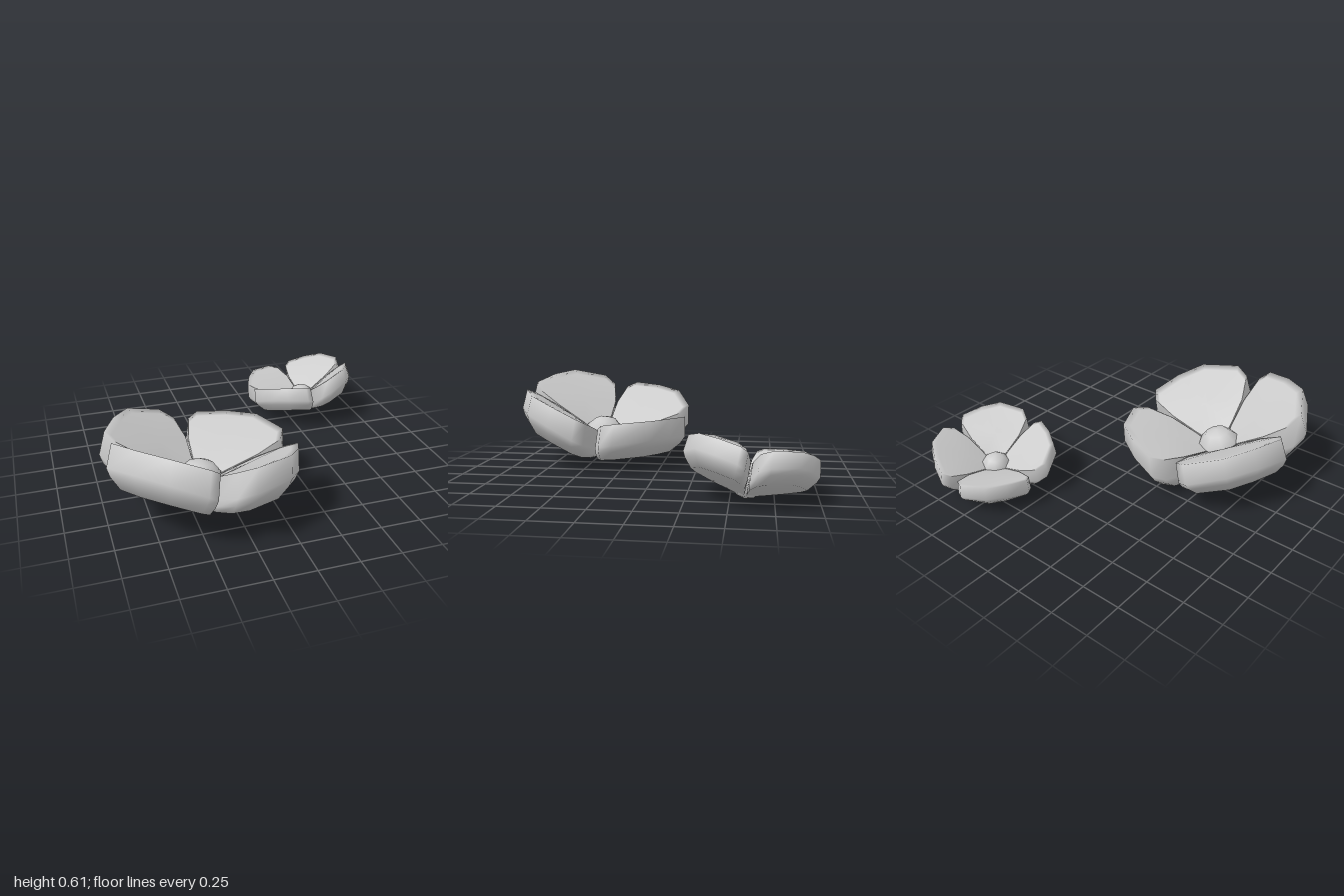
import * as THREE from 'three';

// Petal outline seen from above: [distance from the flower centre, sideways]
const OUTLINE = [
  [0.02, 0], [0.13, -0.125], [0.27, -0.26], [0.41, -0.35], [0.49, -0.335], [0.57, -0.14],
  [0.61, 0.06], [0.52, 0.30], [0.42, 0.335], [0.27, 0.255], [0.13, 0.125],
];

// Cross-section rings from underside to top:
// length scale, width scale, height at centre, slope, curvature
const RINGS = [
  [0.88, 0.80, 0.01, 0.38, 0],
  [0.97, 0.94, 0.03, 0.46, 0],
  [1.00, 1.00, 0.07, 0.47, 0],
  [0.965, 0.965, 0.14, 0.86, -0.46],
  [0.89, 0.90, 0.135, 0.86, -0.46],
];

// Thick petal: wedge-shaped underside, upright rim band and a sloping top
function petalGeometry() {
  const n = OUTLINE.length, pos = [], idx = [];
  const addPoint = (r, t, [length, width, y0, slope, curve]) => {
    const x = r * length;
    pos.push(x, y0 + slope * x + curve * x * x, t * width);
  };
  for (const ring of RINGS) {
    for (const [r, t] of OUTLINE) addPoint(r, t, ring);
  }
  for (let k = 0; k < RINGS.length - 1; k++) {
    for (let i = 0; i < n; i++) {
      const a = k * n + i, b = k * n + (i + 1) % n;
      idx.push(a, a + n, b, b, a + n, b + n);
    }
  }
  // Underside and top caps
  const last = RINGS.length - 1, under = pos.length / 3, top = under + 1;
  addPoint(0.33, 0, RINGS[0]);
  addPoint(0.33, 0, RINGS[last]);
  for (let i = 0; i < n; i++) {
    const j = (i + 1) % n;
    idx.push(under, i, j, top, last * n + j, last * n + i);
  }
  const geo = new THREE.BufferGeometry();
  geo.setAttribute('position', new THREE.Float32BufferAttribute(pos, 3));
  geo.setIndex(idx);
  geo.computeVertexNormals();
  return geo;
}

export function createModel() {
  const material = new THREE.MeshStandardMaterial({ color: 0xcccccc });
  const petalGeo = petalGeometry();
  const heartHeight = 0.155;
  const heartGeo = new THREE.SphereGeometry(0.15, 8, 6).scale(1, 1.03, 1);

  // Four petals around a round heart, tilted to one side
  function createFlower(name, x, z, scale, turn) {
    const flower = new THREE.Group();
    flower.name = name;
    const tilted = new THREE.Group();
    tilted.name = 'tiltedHead';
    tilted.position.y = heartHeight;
    tilted.quaternion.setFromAxisAngle(new THREE.Vector3(-1, 0, -1).normalize(), 0.225);
    for (let i = 0; i < 4; i++) {
      const petal = new THREE.Mesh(petalGeo, material);
      petal.name = 'petal' + (i + 1);
      petal.position.y = -heartHeight;
      petal.rotation.y = Math.PI / 4 + i * Math.PI / 2;
      tilted.add(petal);
    }
    const heart = new THREE.Mesh(heartGeo, material);
    heart.name = 'flowerHeart';
    tilted.add(heart);
    flower.add(tilted);
    flower.position.set(x, 0, z);
    flower.scale.setScalar(scale);
    flower.rotation.y = turn;
    return flower;
  }

  const group = new THREE.Group();
  group.name = 'flowers';
  group.add(createFlower('largeFlower', -0.44, 0.45, 1, 0));
  group.add(createFlower('smallFlower', 0.63, -0.60, 0.66, Math.PI / 2));
  return group;
}
